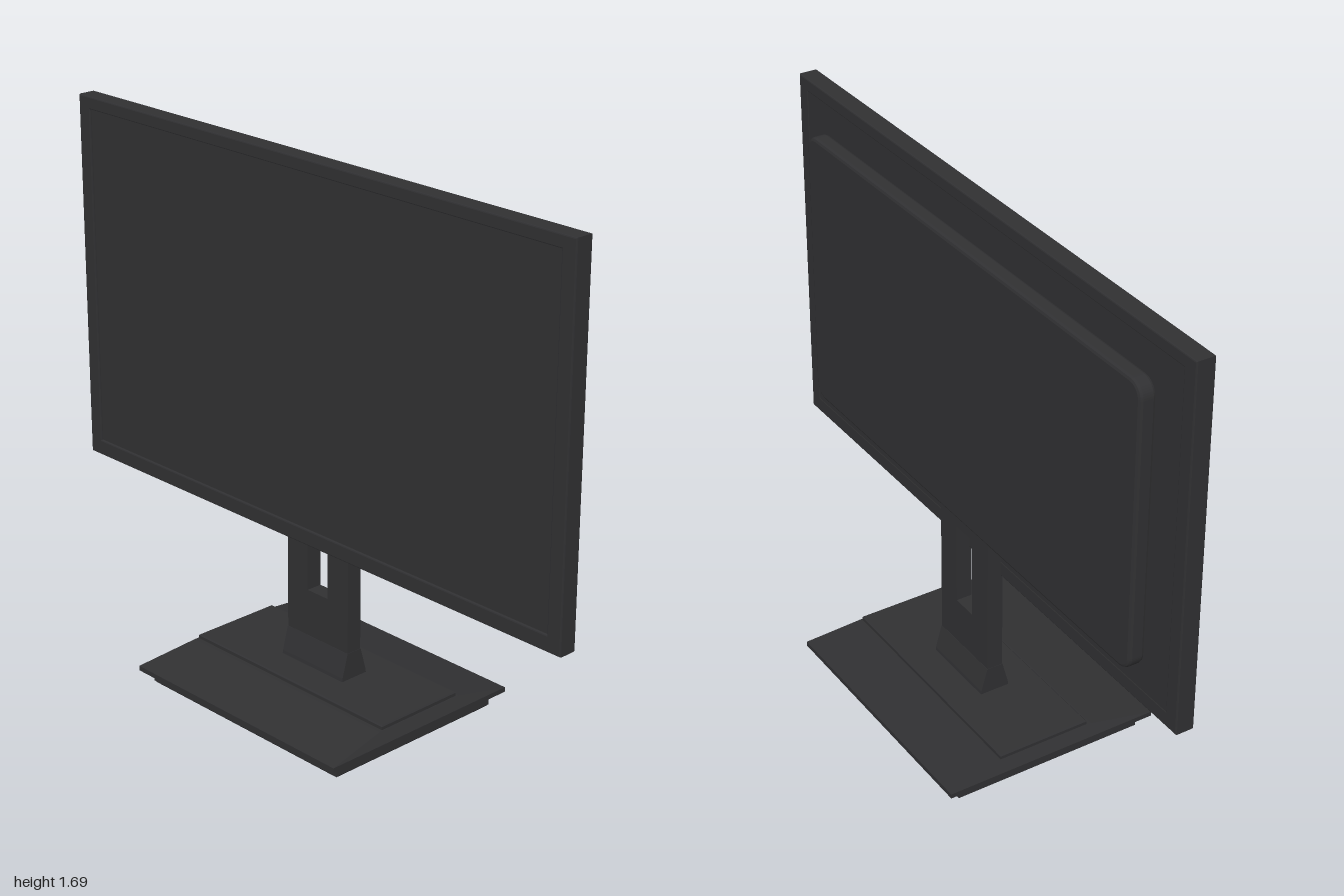
import * as THREE from 'three';

const material = new THREE.MeshStandardMaterial({ color: 0x303032, flatShading: true });

function add(group, name, geometry) {
  const mesh = new THREE.Mesh(geometry, material);
  mesh.name = name;
  group.add(mesh);
  return mesh;
}

// Rectangle outline, with rounded corners when r > 0
function rect(Type, x0, x1, y0, y1, r = 0) {
  const s = new Type();
  if (!r) return s.moveTo(x0, y0).lineTo(x1, y0).lineTo(x1, y1).lineTo(x0, y1).closePath();
  s.absarc(x1 - r, y0 + r, r, -Math.PI / 2, 0);
  s.absarc(x1 - r, y1 - r, r, 0, Math.PI / 2);
  s.absarc(x0 + r, y1 - r, r, Math.PI / 2, Math.PI);
  s.absarc(x0 + r, y0 + r, r, Math.PI, Math.PI * 1.5);
  return s.closePath();
}

// Extrusion that fills exactly z0..z1, bevel included
function slab(shape, z0, z1, bevel = 0) {
  const g = new THREE.ExtrudeGeometry(shape, {
    depth: z1 - z0 - 2 * bevel, curveSegments: 6, bevelEnabled: bevel > 0,
    bevelSize: bevel, bevelOffset: -bevel, bevelThickness: bevel, bevelSegments: 2,
  });
  return g.translate(0, 0, z0 + bevel);
}

// Stack of rectangular sections [y, x0, x1, z0, z1], from bottom to top, closed at both ends
function loft(sections) {
  const pos = [], idx = [];
  for (const [y, x0, x1, z0, z1] of sections) pos.push(x0, y, z1, x1, y, z1, x1, y, z0, x0, y, z0);
  const n = sections.length;
  for (let s = 0; s < n - 1; s++) {
    for (let k = 0; k < 4; k++) {
      const a = s * 4 + k, b = s * 4 + (k + 1) % 4;
      idx.push(a, b, b + 4, a, b + 4, a + 4);
    }
  }
  const t = (n - 1) * 4;
  idx.push(0, 2, 1, 0, 3, 2, t, t + 1, t + 2, t, t + 2, t + 3);
  const g = new THREE.BufferGeometry();
  g.setAttribute('position', new THREE.Float32BufferAttribute(pos, 3));
  g.setIndex(idx);
  const flat = g.toNonIndexed();
  flat.computeVertexNormals();
  return flat;
}

export function createModel() {
  const model = new THREE.Group();
  model.name = 'monitor';

  // Display: bezel frame with the screen set slightly back inside it
  const display = new THREE.Group();
  display.name = 'display';
  model.add(display);
  const frame = rect(THREE.Shape, -1, 1, 0.52, 1.69);
  frame.holes.push(rect(THREE.Path, -0.95, 0.95, 0.57, 1.65));
  add(display, 'bezel', slab(frame, 0.005, 0.065, 0.004));
  add(display, 'screen', new THREE.BoxGeometry(1.91, 1.09, 0.052)).position.set(0, 1.11, 0.032);

  // Raised rear housing with rounded corners
  add(display, 'rearHousing', slab(rect(THREE.Shape, -0.84, 0.88, 0.64, 1.555, 0.05), -0.042, 0.01, 0.01));

  // Stand: slotted neck that flares out where it meets the base
  const stand = new THREE.Group();
  stand.name = 'stand';
  model.add(stand);
  const neck = rect(THREE.Shape, -0.13, 0.13, 0.15, 0.66);
  neck.holes.push(rect(THREE.Path, -0.043, 0.043, 0.34, 0.61));
  add(stand, 'neck', slab(neck, -0.04, 0.012));
  add(stand, 'neckFoot', loft([
    [0.09, -0.131, 0.131, -0.065, 0.037],
    [0.115, -0.131, 0.131, -0.062, 0.033],
    [0.19, -0.131, 0.131, -0.041, 0.013],
  ]));

  // Base: underside pad, sloped plate and raised central step
  const base = new THREE.Group();
  base.name = 'base';
  model.add(base);
  add(base, 'underPad', loft([
    [0, -0.395, 0.395, -0.305, 0.31],
    [0.008, -0.403, 0.403, -0.313, 0.318],
    [0.036, -0.403, 0.403, -0.313, 0.318],
  ]));
  add(base, 'plate', loft([
    [0.034, -0.41, 0.41, -0.325, 0.325],
    [0.046, -0.43, 0.43, -0.355, 0.355],
    [0.061, -0.43, 0.43, -0.355, 0.355],
    [0.09, -0.407, 0.407, -0.175, 0.15],
  ]));
  add(base, 'step', loft([
    [0.08, -0.403, 0.403, -0.168, 0.137],
    [0.1, -0.403, 0.403, -0.168, 0.137],
    [0.104, -0.399, 0.399, -0.164, 0.133],
  ]));

  return model;
}
